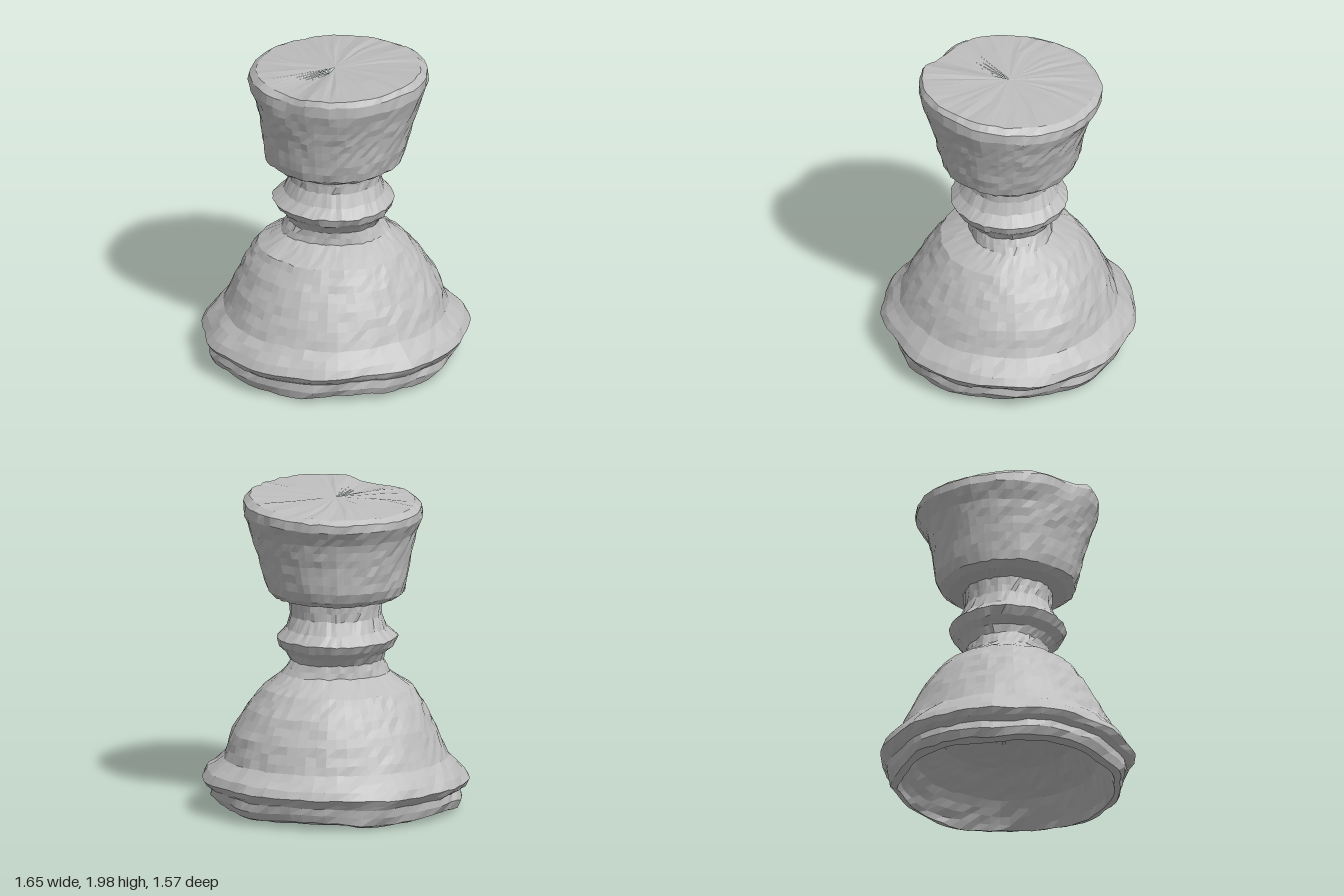
import * as THREE from 'three';

const SEG = 64;
const stone = new THREE.MeshStandardMaterial({ color: 0xbebebe, flatShading: true });
stone.name = 'grey stone';

// repeatable value in -1..1
function hash(a, b) {
  const s = Math.sin(a * 127.1 + b * 311.7) * 43758.5453;
  return (s - Math.floor(s)) * 2 - 1;
}

// key rings: [y, left, right, front, back] extents from the axis
const hollow = [
  [0.42, 0, 0, 0, 0], [0.40, 0.2, 0.2, 0.2, 0.2], [0.33, 0.40, 0.40, 0.40, 0.40],
  [0.20, 0.57, 0.57, 0.56, 0.56], [0.07, 0.66, 0.66, 0.65, 0.65], [0.025, 0.70, 0.68, 0.67, 0.66],
];
const base = [
  [0.025, 0.70, 0.68, 0.67, 0.66], [0.04, 0.76, 0.72, 0.71, 0.70], [0.09, 0.78, 0.76, 0.73, 0.72],
  [0.14, 0.76, 0.76, 0.73, 0.73], [0.165, 0.80, 0.79, 0.76, 0.75], [0.20, 0.825, 0.82, 0.78, 0.78],
  [0.25, 0.79, 0.79, 0.75, 0.76], [0.34, 0.69, 0.69, 0.67, 0.67], [0.50, 0.62, 0.64, 0.59, 0.61],
  [0.65, 0.55, 0.55, 0.50, 0.53], [0.77, 0.47, 0.45, 0.42, 0.43], [0.81, 0.40, 0.40, 0.35, 0.35],
];
const stem = [
  [0.81, 0.40, 0.40, 0.35, 0.35], [0.86, 0.33, 0.34, 0.25, 0.26], [0.94, 0.29, 0.28, 0.25, 0.25],
  [0.99, 0.30, 0.31, 0.29, 0.29], [1.03, 0.35, 0.35, 0.34, 0.33], [1.08, 0.38, 0.365, 0.365, 0.36],
  [1.14, 0.31, 0.31, 0.31, 0.30], [1.22, 0.28, 0.28, 0.27, 0.26], [1.32, 0.28, 0.29, 0.28, 0.27],
];
const cup = [
  [1.32, 0.28, 0.29, 0.28, 0.27], [1.335, 0.38, 0.37, 0.37, 0.36], [1.37, 0.43, 0.41, 0.42, 0.41],
  [1.43, 0.44, 0.43, 0.44, 0.44], [1.60, 0.465, 0.48, 0.47, 0.465], [1.75, 0.49, 0.53, 0.51, 0.51],
  [1.86, 0.53, 0.575, 0.55, 0.57], [1.92, 0.52, 0.57, 0.555, 0.57], [1.95, 0.48, 0.53, 0.535, 0.53],
];
const top = [[1.95, 0.48, 0.53, 0.535, 0.53], [1.955, 0.3, 0.3, 0.3, 0.3], [1.955, 0, 0, 0, 0]];

// add linear rings so that the facets stay small
function refine(keys, step) {
  const rings = [keys[0]];
  for (let k = 1; k < keys.length; k++) {
    const a = keys[k - 1], b = keys[k];
    const n = Math.max(1, Math.round(Math.hypot(b[0] - a[0], b[2] - a[2]) / step));
    for (let i = 1; i <= n; i++) rings.push(a.map((v, c) => v + (b[c] - v) * i / n));
  }
  return rings;
}

// one rough, worn point on a ring
function ringPoint([y, left, right, front, back], j, rough) {
  j %= SEG;
  const t = j / SEG * Math.PI * 2, c = Math.cos(t), s = Math.sin(t);
  const size = (left + right) / 2;
  const edge = y < 0.28 && size > 0.68 ? 1 : 0;
  let k = 1 + 0.008 * Math.sin(3 * t + y * 5) + 0.006 * Math.sin(7 * t + y * 9);
  if (edge) k += 0.012 * Math.sin(11 * t + y * 14);
  k += size > 0 ? rough * hash(j + 1, y * 10 + size) / Math.max(size, 0.2) : 0;
  // worn notch in the front-left rim of the cup
  const dent = Math.exp(-(((t - 2.3) / 0.22) ** 2)) * Math.max(0, Math.min(1, (y - 1.75) / 0.15));
  k -= 0.07 * dent;
  const x = c * (c < 0 ? left : right) * k, z = s * (s > 0 ? front : back) * k;
  let h = y + (size > 0 ? rough * 0.8 * hash(j + 40, y * 7 + size) : 0);
  if (edge) h += 0.012 * Math.sin(5 * t + 1) * (0.28 - y) / 0.28 + 0.012 * x;
  // tilted top
  const lift = Math.max(0, Math.min(1, (y - 1.75) / 0.2));
  h += lift * (0.065 * z + 0.02 * x) - 0.02 * dent;
  return [x, h, z];
}

// loft a surface through the rings
function loft(name, keys, rough, step = 0.06) {
  const rings = refine(keys, step), pos = [], index = [];
  for (const ring of rings) for (let j = 0; j <= SEG; j++) pos.push(...ringPoint(ring, j, rough));
  for (let i = 0; i < rings.length - 1; i++) {
    for (let j = 0; j < SEG; j++) {
      const a = i * (SEG + 1) + j, b = a + 1, c = a + SEG + 1, d = c + 1;
      if (rings[i + 1][1] > 0) index.push(b, c, d);
      if (rings[i][1] > 0) index.push(a, c, b);
      else if (rings[i + 1][1] <= 0) continue;
      if (rings[i + 1][1] <= 0) continue;
    }
  }
  const geo = new THREE.BufferGeometry();
  geo.setAttribute('position', new THREE.Float32BufferAttribute(pos, 3));
  geo.setIndex(index);
  geo.computeVertexNormals();
  const mesh = new THREE.Mesh(geo, stone);
  mesh.name = name;
  return mesh;
}

export function createModel() {
  const group = new THREE.Group();
  group.name = 'pedestal cup';
  group.add(
    loft('hollowUnderside', hollow, 0.006),
    loft('flaredBase', base, 0.006),
    loft('ringedStem', stem, 0.006),
    loft('cup', cup, 0.006),
    loft('cupTop', top, 0.006, 0.2),
  );
  return group;
}
